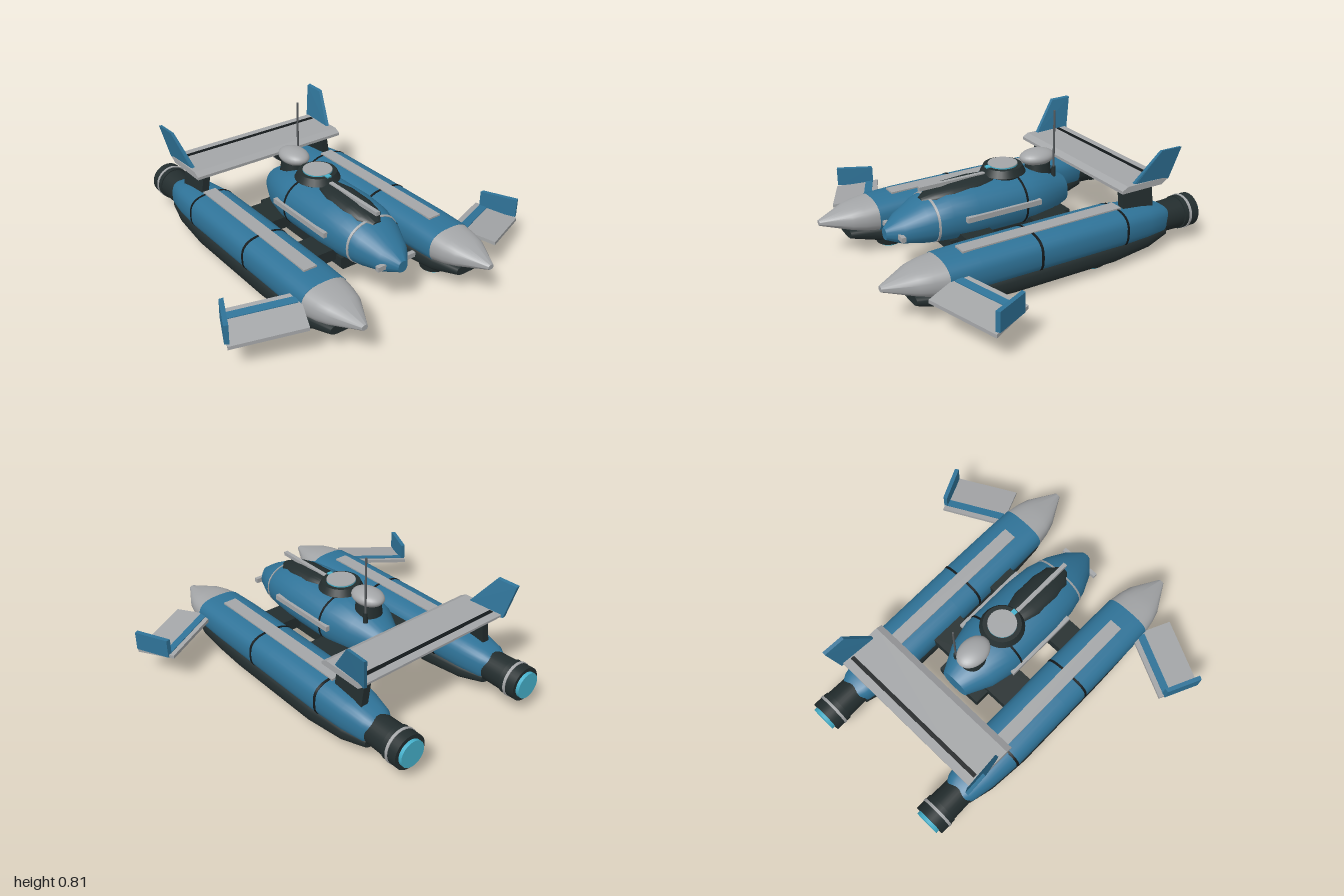
import * as THREE from 'three';
import { toCreasedNormals } from 'three/addons/utils/BufferGeometryUtils.js';
import { ConvexGeometry } from 'three/addons/geometries/ConvexGeometry.js';

const paint = (name, color) => {
  const m = new THREE.MeshStandardMaterial({ color });
  m.name = name;
  return m;
};

// Skin over superellipse sections [z, halfWidth, yBottom, yTop], listed front to back
function loft(stations, n = 2.5, cx = 0, seg = 28) {
  const pos = [], idx = [];
  const pow = v => Math.sign(v) * Math.abs(v) ** (2 / n);
  for (const [z, w, y0, y1] of stations)
    for (let j = 0; j < seg; j++) {
      const a = j / seg * Math.PI * 2;
      pos.push(cx + w * pow(Math.cos(a)), (y0 + y1) / 2 + (y1 - y0) / 2 * pow(Math.sin(a)), z);
    }
  const last = stations.length - 1;
  for (let i = 0; i < last; i++)
    for (let j = 0; j < seg; j++) {
      const k = (j + 1) % seg, f = i * seg, b = f + seg;
      idx.push(f + j, b + j, f + k, f + k, b + j, b + k);
    }
  // End caps
  for (const i of [0, last]) {
    const [z, , y0, y1] = stations[i], c = pos.length / 3, f = i * seg;
    pos.push(cx, (y0 + y1) / 2, z);
    for (let j = 0; j < seg; j++) {
      const k = (j + 1) % seg;
      if (i === 0) idx.push(c, f + j, f + k);
      else idx.push(c, f + k, f + j);
    }
  }
  const g = new THREE.BufferGeometry();
  g.setAttribute('position', new THREE.Float32BufferAttribute(pos, 3));
  g.setIndex(idx);
  return toCreasedNormals(g, 0.6);
}

// Narrow band hugging a lofted body around depth z
function band(stations, z, half, grow, n, cx) {
  const at = zz => {
    const i = stations.findIndex((s, k) => k > 0 && s[0] <= zz);
    const a = stations[i - 1], b = stations[i], t = (zz - a[0]) / (b[0] - a[0]);
    const [, w, y0, y1] = a.map((v, k) => v + (b[k] - v) * t);
    return [zz, w + grow, y0 - grow, y1 + grow];
  };
  return loft([at(z + half), at(z - half)], n, cx);
}

const box = (w, h, d, x, y, z) => new THREE.BoxGeometry(w, h, d).translate(x, y, z);
const upright = (rTop, rBottom, y0, y1, x, z) =>
  new THREE.CylinderGeometry(rTop, rBottom, y1 - y0, 32).translate(x, (y0 + y1) / 2, z);
const lengthwise = (rFront, rBack, zFront, zBack, x, y) =>
  new THREE.CylinderGeometry(rFront, rBack, zFront - zBack, 32)
    .rotateX(Math.PI / 2).translate(x, y, (zFront + zBack) / 2);
const hull = pts => new ConvexGeometry(pts.map(p => new THREE.Vector3(...p)));
// Solid between an outline and its copy shifted by (dx, dy, dz)
const slab = (pts, dx, dy, dz) => hull([...pts, ...pts.map(p => [p[0] + dx, p[1] + dy, p[2] + dz])]);

function mirrored(geo) {
  const g = geo.index ? geo.toNonIndexed() : geo.clone();
  g.scale(-1, 1, 1);
  for (const a of Object.values(g.attributes))
    for (let i = 0; i < a.count; i += 3)
      for (let c = 0; c < a.itemSize; c++) {
        const v = a.getComponent(i + 1, c);
        a.setComponent(i + 1, c, a.getComponent(i + 2, c));
        a.setComponent(i + 2, c, v);
      }
  return g;
}

export function createModel() {
  const blue = paint('hull blue', 0x2f7398);
  const light = paint('light grey', 0xa4a6a8);
  const dark = paint('dark grey', 0x232d2e);
  const seam = paint('seam black', 0x14191b);
  const glow = paint('glow cyan', 0x45b0cb);
  const steel = paint('antenna grey', 0x55595c);

  const model = new THREE.Group();
  const add = (name, geo, mat) => {
    const m = new THREE.Mesh(geo, mat);
    m.name = name;
    model.add(m);
  };
  const pair = (name, geo, mat) => {
    add(name + 'Left', geo, mat);
    add(name + 'Right', mirrored(geo), mat);
  };

  // Twin pontoons: blue upper shell, grey nose, dark keel
  const X = 0.427;
  const shell = [
    [0.68, 0.143, 0.125, 0.312], [0.5, 0.146, 0.115, 0.32], [0, 0.147, 0.11, 0.322],
    [-0.4, 0.145, 0.105, 0.32], [-0.6, 0.125, 0.1, 0.3], [-0.73, 0.098, 0.1, 0.275], [-0.78, 0.07, 0.12, 0.25],
  ];
  pair('pontoonShell', loft(shell, 2.8, X), blue);
  pair('pontoonNose', loft([
    [0.995, 0.018, 0.21, 0.24], [0.83, 0.11, 0.16, 0.29], [0.76, 0.13, 0.14, 0.303], shell[0],
  ], 2.6, X), light);
  pair('pontoonKeel', loft([
    [0.84, 0.085, 0.11, 0.165], [0.68, 0.125, 0.066, 0.172], [0.5, 0.136, 0.047, 0.172],
    [0.3, 0.14, 0.034, 0.17], [-0.35, 0.14, 0.03, 0.165], [-0.6, 0.12, 0.05, 0.158], [-0.75, 0.085, 0.085, 0.15],
  ], 3, X), dark);
  for (const z of [0.145, -0.42]) pair('pontoonSeam', band(shell, z, 0.007, 0.003, 2.8, X), seam);
  pair('deckStrip', box(0.08, 0.014, 1.0, X, 0.32, 0.06), light);

  // Stern thrusters
  pair('thrusterBody', lengthwise(0.088, 0.093, -0.7, -0.9, X, 0.175), dark);
  pair('thrusterCollar', lengthwise(0.099, 0.099, -0.88, -0.98, X, 0.175), dark);
  pair('thrusterRing', lengthwise(0.103, 0.103, -0.91, -0.926, X, 0.175), light);
  pair('thrusterGlow', lengthwise(0.076, 0.076, -0.95, -1, X, 0.175), glow);

  // Lift pads under each pontoon
  for (const z of [0.575, -0.275]) {
    pair('liftPad', upright(0.09, 0.076, 0.012, 0.055, X, z), dark);
    pair('liftGlow', upright(0.06, 0.06, 0, 0.02, X, z), glow);
  }

  // Central cabin, belly and cross struts
  const cabin = [
    [0.78, 0.03, 0.25, 0.315], [0.7, 0.1, 0.22, 0.37], [0.58, 0.155, 0.2, 0.432], [0.45, 0.187, 0.19, 0.472],
    [0.3, 0.2, 0.18, 0.485], [-0.05, 0.2, 0.18, 0.48], [-0.2, 0.165, 0.19, 0.46], [-0.345, 0.09, 0.22, 0.39],
  ];
  add('cabin', loft(cabin, 2.3), blue);
  add('cabinBand', band(cabin, 0.53, 0.006, 0.004, 2.3, 0), light);
  add('cabinSeam', band(cabin, 0, 0.006, 0.003, 2.3, 0), seam);
  add('belly', slab([[-0.135, 0.145, 0.46], [0.135, 0.145, 0.46], [0.15, 0.16, 0.46], [0.15, 0.22, 0.46],
    [-0.15, 0.22, 0.46], [-0.15, 0.16, 0.46]], 0, 0, -0.78), dark);
  for (const [z, d] of [[0.328, 0.175], [-0.123, 0.215]]) add('crossStrut', box(0.66, 0.07, d, 0, 0.225, z), dark);
  pair('sideRail', box(0.025, 0.03, 0.47, 0.203, 0.348, 0.153), light);
  pair('headlight', box(0.052, 0.028, 0.025, 0.1, 0.284, 0.722), light);

  // Canopy with top bar
  add('canopy', loft([
    [0.565, 0.03, 0.4, 0.445], [0.5, 0.08, 0.4, 0.474], [0.4, 0.098, 0.4, 0.492],
    [0.25, 0.1, 0.4, 0.5], [0.15, 0.075, 0.4, 0.5], [0.1, 0.04, 0.4, 0.49],
  ], 2.3), dark);
  add('topBar', box(0.024, 0.022, 0.47, 0, 0.496, 0.335), light);

  // Turret hatch
  add('turretBase', upright(0.11, 0.095, 0.46, 0.49, 0, 0.045), dark);
  add('turretRing', upright(0.11, 0.13, 0.49, 0.53, 0, 0.045), dark);
  add('hatchRim', upright(0.084, 0.084, 0.52, 0.537, 0, 0.045), glow);
  add('hatch', upright(0.083, 0.084, 0.537, 0.541, 0, 0.045), light);
  add('turretLamp', box(0.03, 0.02, 0.04, 0, 0.527, 0.135), glow);

  // Sensor dome and antenna
  add('domeBase', upright(0.07, 0.08, 0.43, 0.5, 0, -0.19), dark);
  add('dome', new THREE.SphereGeometry(1, 28, 18).scale(0.08, 0.046, 0.108).translate(0, 0.53, -0.185), light);
  add('antennaFoot', upright(0.012, 0.014, 0.42, 0.48, 0.075, -0.25), dark);
  add('antenna', upright(0.006, 0.006, 0.44, 0.815, 0.075, -0.25), steel);

  // Rear wing on pylons with canted fins
  add('rearWing', slab([[-0.51, 0.428, -0.412], [-0.51, 0.445, -0.412], [-0.51, 0.465, -0.45],
    [-0.51, 0.465, -0.722], [-0.51, 0.452, -0.722], [-0.51, 0.428, -0.69]], 1.02, 0, 0), light);
  add('wingStripe', box(0.96, 0.006, 0.024, 0, 0.465, -0.662), seam);
  pair('wingPylon', slab([[0.425, 0.28, -0.46], [0.425, 0.28, -0.67], [0.4, 0.435, -0.67],
    [0.4, 0.435, -0.46]], 0.045, 0, 0), dark);
  pair('tailFin', slab([[0.476, 0.44, -0.5], [0.476, 0.46, -0.5], [0.525, 0.645, -0.645],
    [0.53, 0.645, -0.778], [0.49, 0.45, -0.735]], 0.02, 0.004, 0), blue);

  // Swept front canards: trailing edge and leading edge run root to tip
  const at = (u, v, dy = 0) => { // u: root to tip, v: trailing to leading
    const x0 = 0.53 + 0.1 * v, z0 = 0.6 + 0.235 * v;
    return [x0 + 0.36 * u, 0.25 - 0.03 * v - 0.05 * u + dy, z0 - 0.162 * u];
  };
  const patch = (u0, u1, v0, v1, dy) => [at(u0, v0, dy), at(u1, v0, dy), at(u1, v1, dy), at(u0, v1, dy)];
  pair('canard', slab(patch(0, 1, 0, 1, 0), 0, -0.02, 0), light);
  pair('canardFlap', slab(patch(0.04, 0.97, 0.12, 0.3, 0.004), 0, -0.008, 0), blue);
  pair('canardTip', hull([0.18, 0.29].flatMap(y =>
    [[0.885, 0.472], [0.91, 0.468], [1, 0.66], [0.978, 0.672]].map(([x, z]) => [x, y, z]))), blue);

  return model;
}
